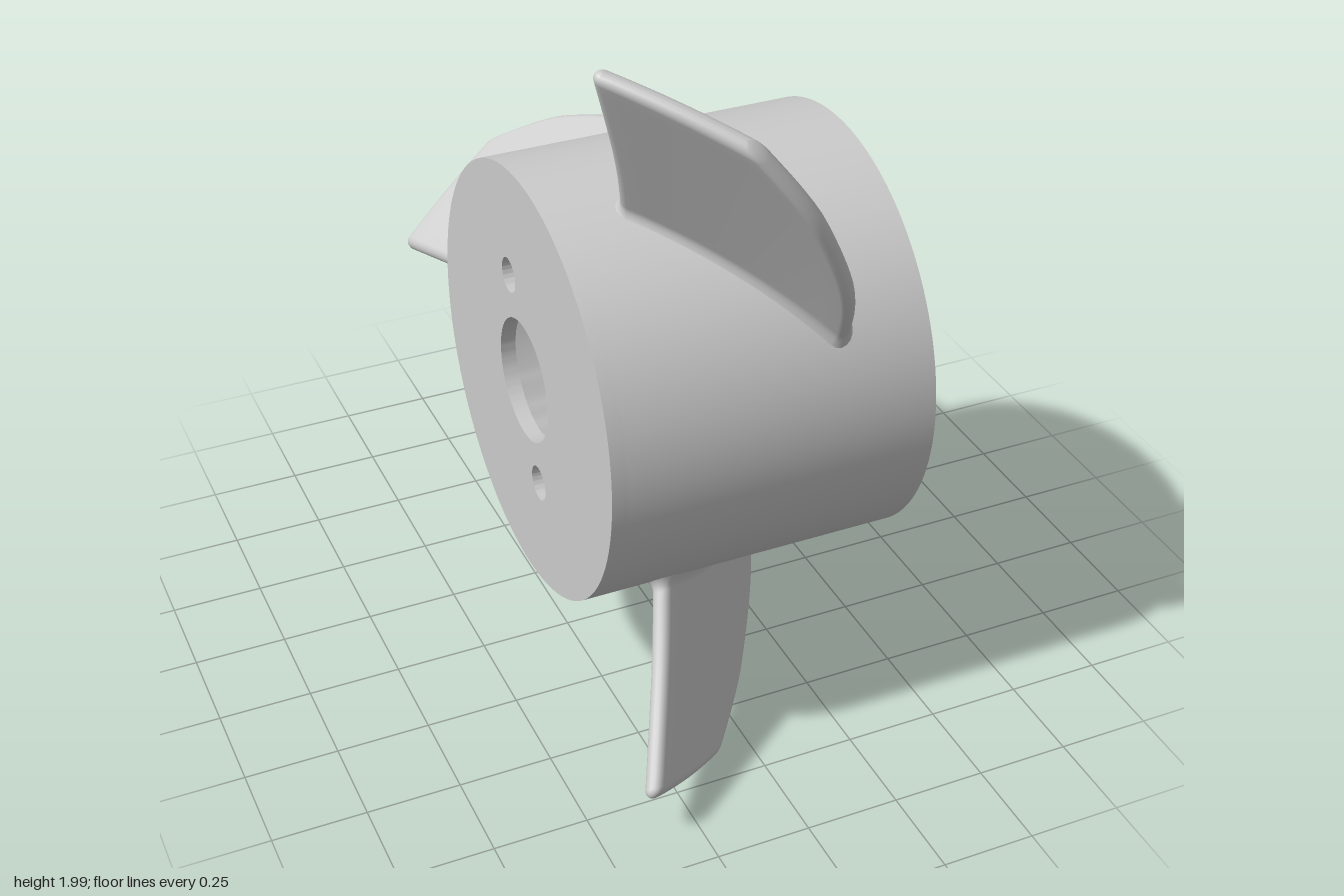
import * as THREE from 'three';
import { toCreasedNormals } from 'three/addons/utils/BufferGeometryUtils.js';

const R = 0.567, INNER = 0.54, BACK = -0.43, FRONT = 0.427, PLATE = 0.04;
const material = new THREE.MeshStandardMaterial({ color: 0xcccccc, side: THREE.DoubleSide });

function part(name, geometry) {
  const mesh = new THREE.Mesh(geometry, material);
  mesh.name = name;
  return mesh;
}

// Piecewise smooth lookup: x of a blade edge at a given radius
function edge(points) {
  const curve = new THREE.SplineCurve(points.map(p => new THREE.Vector2(...p)));
  const samples = curve.getPoints(120);
  return r => {
    let i = 1;
    while (i < samples.length - 1 && samples[i].x < r) i++;
    const a = samples[i - 1], b = samples[i];
    return a.y + (b.y - a.y) * (r - a.x) / (b.x - a.x);
  };
}
const leading = edge([[0.54, 0.2], [0.6, 0.2], [0.74, 0.162], [0.89, 0.078], [0.97, 0.015], [1.085, -0.11]]);
const trailing = edge([[0.54, -0.225], [0.7, -0.265], [0.85, -0.31], [1.085, -0.388]]);

// Rounded slab section: points [along chord, across], counter-clockwise
function section(halfLength, h) {
  const pts = [], arc = 8, side = 12, c = halfLength - h;
  for (const s of [1, -1]) {
    for (let i = 0; i <= arc; i++) {
      const a = -Math.PI / 2 + Math.PI * i / arc;
      pts.push([s * (c + h * Math.cos(a)), s * h * Math.sin(a)]);
    }
    for (let i = 1; i < side; i++) pts.push([s * c * (1 - 2 * i / side), s * h]);
  }
  return pts;
}

// Blade pitched at 45 degrees; each section lies on a cylinder around the hub axis
function bladeGeometry() {
  const stations = [], half = 0.025, tip = 1.083;
  for (let i = 0; i <= 8; i++) stations.push([0.55 + 0.006 * i, half, 0]);
  for (let i = 1; i <= 18; i++) stations.push([0.598 + (tip - half - 0.598) * i / 18, half, 0]);
  for (let i = 1; i <= 6; i++) {
    const a = Math.PI / 2 * i / 6;
    stations.push([tip - half + half * Math.sin(a), half * Math.cos(a), half * (1 - Math.cos(a))]);
  }
  const positions = [], index = [];
  let n = 0;
  for (const [r, h, inset] of stations) {
    const flare = 0.02 * Math.max(0, 1 - (r - 0.56) / 0.035) ** 2; // root fillet
    const x0 = trailing(r), x1 = leading(r), mid = (x0 + x1) / 2;
    const rake = 0.105 + 0.196 * (r - 0.57);
    const loop = section((x1 - x0) / Math.SQRT2 + flare - inset, h + flare);
    n = loop.length;
    for (const [d, t] of loop) {
      const x = mid + (d - t) * Math.SQRT1_2;
      const y = mid + rake + (d + t) * Math.SQRT1_2;
      positions.push(x, y, -Math.sqrt(r * r - y * y));
    }
  }
  for (let i = 0; i < stations.length - 1; i++) {
    for (let j = 0; j < n; j++) {
      const a = i * n + j, b = i * n + (j + 1) % n;
      index.push(a, a + n, b, b, a + n, b + n);
    }
  }
  const g = new THREE.BufferGeometry();
  g.setAttribute('position', new THREE.Float32BufferAttribute(positions, 3));
  g.setIndex(index);
  g.computeVertexNormals();
  return g;
}

// Open drum with a small fillet where the bore meets the end plate
function drumGeometry() {
  const inside = BACK + PLATE, f = 0.015;
  const profile = [[R, inside], [R, FRONT], [INNER, FRONT], [INNER, inside + f]];
  for (let i = 1; i <= 5; i++) {
    const a = Math.PI / 2 * i / 5;
    profile.push([INNER - f + f * Math.cos(a), inside + f - f * Math.sin(a)]);
  }
  const g = new THREE.LatheGeometry(profile.map(p => new THREE.Vector2(...p)), 128);
  g.rotateZ(-Math.PI / 2);
  return toCreasedNormals(g, 0.6);
}

// End plate with a shaft hole and two bolt holes
function plateGeometry() {
  const shape = new THREE.Shape().absarc(0, 0, R, 0, Math.PI * 2);
  for (const [u, v, r] of [[0, 0, 0.162], [0.085, 0.26, 0.046], [-0.085, -0.26, 0.046]]) {
    shape.holes.push(new THREE.Path().absarc(u, v, r, 0, Math.PI * 2, true));
  }
  const g = new THREE.ExtrudeGeometry(shape, { depth: PLATE, bevelEnabled: false, curveSegments: 64 });
  g.rotateY(Math.PI / 2);
  g.translate(BACK, 0, 0);
  return toCreasedNormals(g, 0.6);
}

export function createModel() {
  const model = new THREE.Group();
  model.name = 'impeller';
  const rotor = new THREE.Group();
  rotor.name = 'rotor';
  rotor.position.set(0, 0.99, 0.2);
  rotor.add(part('hubDrum', drumGeometry()), part('hubEndPlate', plateGeometry()));
  const blade = bladeGeometry();
  for (let k = 0; k < 3; k++) {
    const mesh = part('blade' + (k + 1), blade);
    mesh.rotation.x = k * Math.PI * 2 / 3;
    rotor.add(mesh);
  }
  model.add(rotor);
  return model;
}
